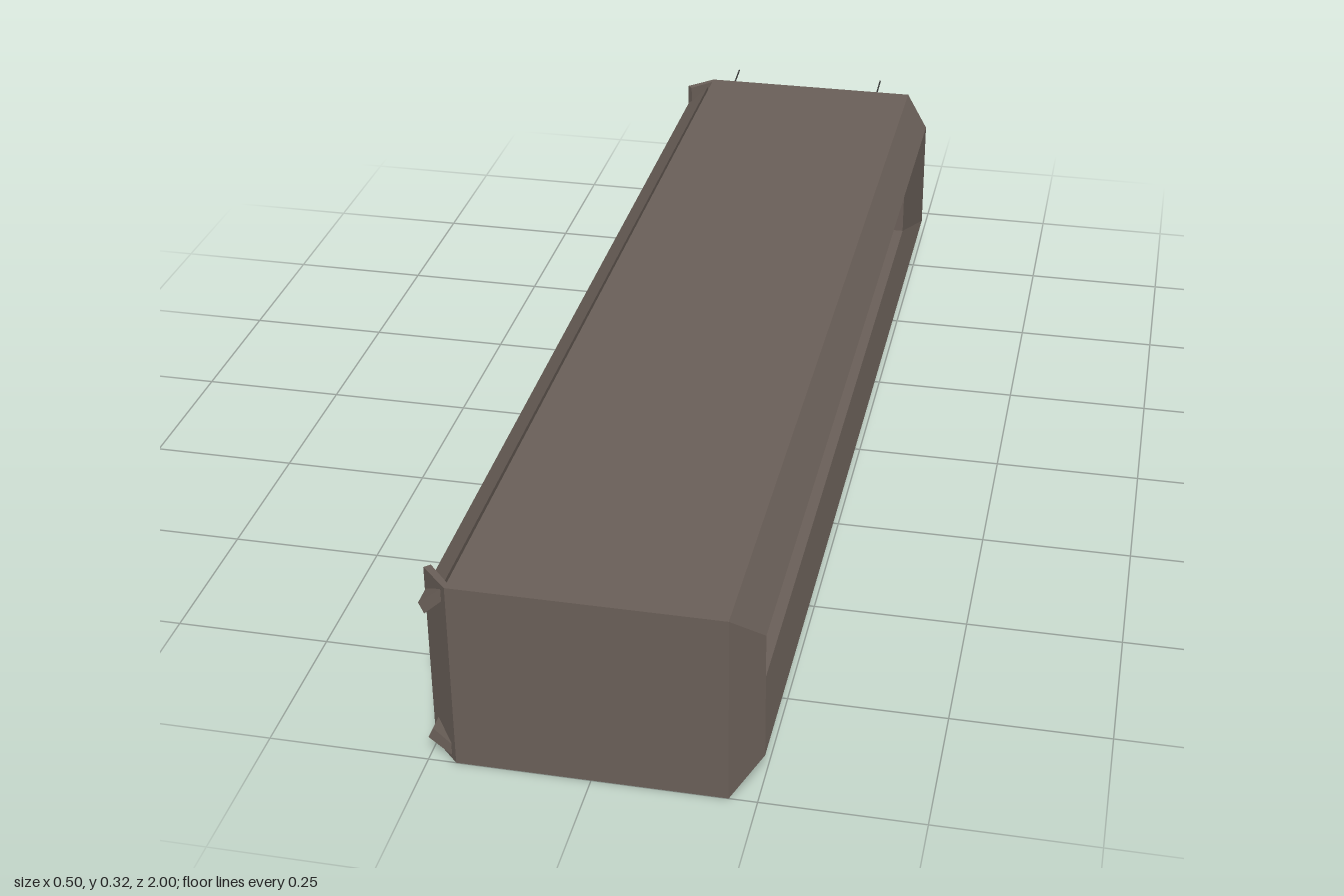
import * as THREE from 'three';

const W = 0.207, X = 0.252;            // body half width, half width over the bevels
const H = 0.316, LOW = 0.05, HIGH = 0.265;
const Z0 = -0.905, Z1 = 1, I0 = -0.86, I1 = 0.953;

const shell = new THREE.MeshStandardMaterial({ color: 0x6b6059, flatShading: true, side: THREE.DoubleSide });
const pipeGrey = new THREE.MeshStandardMaterial({ color: 0x7f8a8a });
const cableDark = new THREE.MeshStandardMaterial({ color: 0x3c3c3c });

// Flat four-cornered panel, corners counter-clockwise from outside
function panel(name, a, b, c, d) {
  const g = new THREE.BufferGeometry();
  g.setAttribute('position', new THREE.Float32BufferAttribute([a, b, c, a, c, d].flat(), 3));
  g.computeVertexNormals();
  const m = new THREE.Mesh(g, shell);
  m.name = name;
  return m;
}

// Round pipe through points, with rounded elbows
function pipe(name, pts, r, material, bend = 0.015) {
  const v = pts.map(p => new THREE.Vector3(...p));
  const group = new THREE.Group();
  group.name = name;
  const path = new THREE.CurvePath();
  let from = v[0];
  for (let i = 1; i < v.length - 1; i++) {
    const reach = Math.min(bend, v[i].distanceTo(v[i - 1]) * 0.45, v[i].distanceTo(v[i + 1]) * 0.45);
    const p = v[i].clone().add(v[i - 1].clone().sub(v[i]).setLength(reach));
    const q = v[i].clone().add(v[i + 1].clone().sub(v[i]).setLength(reach));
    path.add(new THREE.LineCurve3(from, p));
    path.add(new THREE.QuadraticBezierCurve3(p, v[i], q));
    from = q;
  }
  path.add(new THREE.LineCurve3(from, v[v.length - 1]));
  for (const c of path.curves) {
    const steps = c.isLineCurve3 ? 1 : 5;
    const m = new THREE.Mesh(new THREE.TubeGeometry(c, steps, r, 8), material);
    m.name = name + 'Section';
    group.add(m);
  }
  // closed ends
  for (const p of [v[0], v[v.length - 1]]) {
    const cap = new THREE.Mesh(new THREE.SphereGeometry(r, 8, 6), material);
    cap.name = name + 'End';
    cap.position.copy(p);
    group.add(cap);
  }
  return group;
}

// Thin slab made from a cross-section pulled along z
function slab(name, section, length) {
  const shape = new THREE.Shape(section.map(p => new THREE.Vector2(...p)));
  const m = new THREE.Mesh(new THREE.ExtrudeGeometry(shape, { depth: length, bevelEnabled: false }), shell);
  m.name = name;
  return m;
}

export function createModel() {
  const model = new THREE.Group();
  model.name = 'openContainer';

  // Hollow body
  model.add(
    panel('roof', [-W, H, Z1], [W, H, Z1], [W, H, Z0], [-W, H, Z0]),
    panel('floor', [-W, 0, Z0], [W, 0, Z0], [W, 0, Z1], [-W, 0, Z1]),
    panel('frontEnd', [-W, 0, Z1], [W, 0, Z1], [W, H, Z1], [-W, H, Z1]),
    panel('backEnd', [W, 0, Z0], [-W, 0, Z0], [-W, H, Z0], [W, H, Z0]),
  );

  // Mitred bevel frame around the open side
  const outer = [[W, 0, Z1], [W, 0, Z0], [W, H, Z0], [W, H, Z1]];
  const inner = [[X, LOW, I1], [X, LOW, I0], [X, HIGH, I0], [X, HIGH, I1]];
  ['bottom', 'back', 'top', 'front'].forEach((side, i) => {
    const j = (i + 1) % 4;
    model.add(panel(side + 'OpeningBevel', outer[i], outer[j], inner[j], inner[i]));
  });

  // Closed side wall
  model.add(panel('closedSideWall', [-0.247, LOW, I0], [-0.247, LOW, I1], [-0.247, HIGH, I1], [-0.247, HIGH, I0]));

  // Sloping strips whose ends run past one another at the corners
  const lower = [[-0.215, 0.008], [-0.215, 0.029], [-0.242, 0.054], [-0.25, 0.036]];
  for (const [name, flip] of [['lowerSideStrip', false], ['upperSideStrip', true]]) {
    const s = slab(name, lower.map(([x, y]) => [x, flip ? H - y : y]), 1.893);
    s.position.z = -0.9;
    model.add(s);
  }
  for (const [name, z, d] of [['frontSideStrip', Z1, -1], ['backSideStrip', Z0, 1]]) {
    // cross-section in x and z, turned upright
    const s = slab(name, [[-W, -z], [-X, -(z + d * 0.045)], [-0.243, -(z + d * 0.053)], [-W, -(z + d * 0.014)]], H);
    s.rotation.x = -Math.PI / 2;
    model.add(s);
  }

  // Pipes and cables on the inside of the closed wall, given as [z, y]
  const onWall = (x, pts) => pts.map(([z, y]) => [x, y, z]);
  model.add(
    pipe('mainPipe', onWall(-0.228, [[0.51, 0.142], [0.195, 0.142], [0.195, 0.243], [-0.03, 0.243]]), 0.012, pipeGrey, 0.025),
    pipe('longCable', onWall(-0.238, [[0.95, 0.07], [0.9, 0.07], [0.9, 0.108], [0.86, 0.108], [0.86, 0.2],
      [0.53, 0.2], [0.53, 0.237], [0.07, 0.237], [0.07, 0.2]]), 0.006, cableDark),
    pipe('hangingCable', onWall(-0.242, [[-0.53, 0.265], [-0.53, 0.16], [-0.69, 0.16]]), 0.003, cableDark),
  );
  for (const dy of [0, 0.014]) {
    model.add(pipe('pairedCable', onWall(-0.24, [[-0.39, 0.078 + dy], [-0.49, 0.078 + dy], [-0.5, 0.108 + dy],
      [-0.6, 0.108 + dy], [-0.605, 0.082 + dy], [-0.69, 0.082 + dy]]), 0.004, cableDark));
  }

  // Fine wavy wires under the roof, sticking out of the back end
  for (const x of [-0.17, 0.135]) {
    const pts = [];
    for (let i = 0; i <= 32; i++) pts.push(new THREE.Vector3(x, 0.293 + 0.009 * Math.cos(i * Math.PI / 2), -1 + i * 0.06));
    const wire = new THREE.Mesh(new THREE.TubeGeometry(new THREE.CatmullRomCurve3(pts), 130, 0.0015, 4), cableDark);
    wire.name = 'roofWire';
    model.add(wire);
  }
  return model;
}
